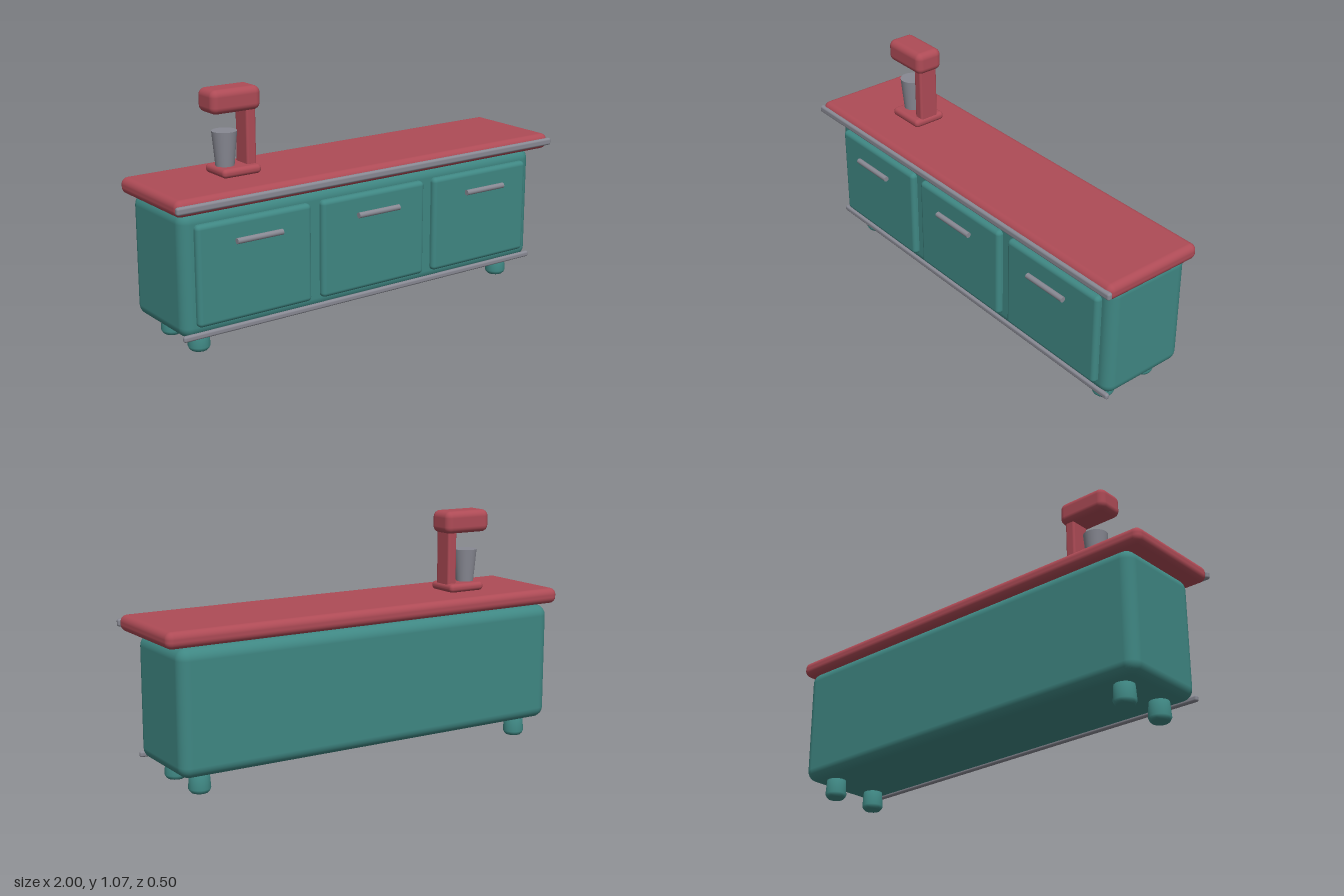
import * as THREE from 'three';
import { RoundedBoxGeometry } from 'three/addons/geometries/RoundedBoxGeometry.js';

export function createModel() {
  const model = new THREE.Group();
  model.name = 'counter';

  const paint = (name, color) => {
    const m = new THREE.MeshStandardMaterial({ color });
    m.name = name;
    return m;
  };
  const teal = paint('teal', 0x3f8783);
  const red = paint('red', 0xae4b56);
  const metal = paint('metal grey', 0x888993);

  const add = (name, geometry, material, x, y, z, parent = model) => {
    const mesh = new THREE.Mesh(geometry, material);
    mesh.name = name;
    mesh.position.set(x, y, z);
    parent.add(mesh);
    return mesh;
  };

  // Rounded box given by its min and max along each axis
  const block = (name, material, [x0, x1], [y0, y1], [z0, z1], radius, parent) =>
    add(name, new RoundedBoxGeometry(x1 - x0, y1 - y0, z1 - z0, 4, radius), material,
      (x0 + x1) / 2, (y0 + y1) / 2, (z0 + z1) / 2, parent);

  // Cabinet and worktop
  block('cabinet', teal, [-0.945, 0.945], [0.085, 0.624], [-0.25, 0.172], 0.05);
  block('worktop', red, [-0.995, 0.995], [0.627, 0.698], [-0.25, 0.237], 0.03);

  // Metal trims along the front
  block('worktopTrim', metal, [-1, 1], [0.645, 0.678], [0.226, 0.25], 0.01);
  block('baseTrim', metal, [-0.948, 0.948], [0.084, 0.111], [0.158, 0.179], 0.0095);

  // Three doors with bar handles
  const handle = new THREE.CylinderGeometry(0.0125, 0.0125, 0.22, 16).rotateZ(Math.PI / 2);
  for (const x of [-0.61, 0, 0.61]) {
    block('door', teal, [x - 0.278, x + 0.278], [0.138, 0.572], [0.15, 0.199], 0.02);
    add('handle', handle, metal, x, 0.488, 0.226);
  }

  // Feet, slightly flared with a chamfered sole
  const footProfile = [[0, 0], [0.036, 0], [0.042, 0.006], [0.048, 0.018], [0.042, 0.1], [0, 0.1]];
  const foot = new THREE.LatheGeometry(footProfile.map(([r, y]) => new THREE.Vector2(r, y)), 20);
  for (const x of [-0.825, 0.825]) {
    for (const z of [0.077, -0.153]) add('foot', foot, teal, x, 0, z);
  }

  // Drink mixer standing on the worktop
  const mixer = new THREE.Group();
  mixer.name = 'mixer';
  model.add(mixer);
  block('mixerBase', red, [-0.671, -0.484], [0.698, 0.737], [-0.105, 0.055], 0.018, mixer);
  block('mixerPost', red, [-0.537, -0.49], [0.715, 0.99], [-0.071, 0.022], 0.01, mixer);
  block('mixerHead', red, [-0.709, -0.471], [0.966, 1.068], [-0.091, 0.042], 0.03, mixer);
  add('mixerCup', new THREE.CylinderGeometry(0.054, 0.04, 0.15, 24), metal, -0.618, 0.81, -0.025, mixer);

  return model;
}
